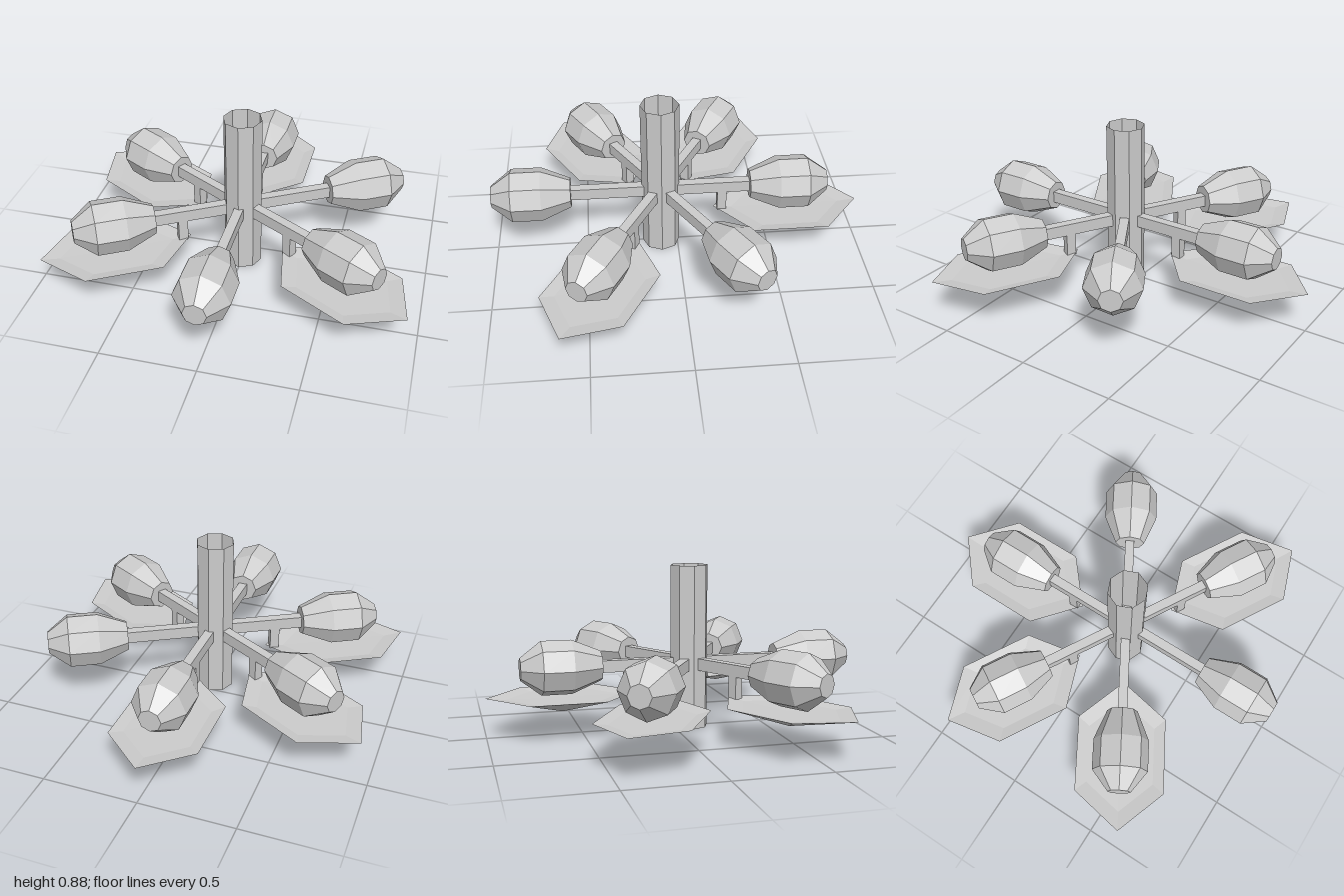
import * as THREE from 'three';

const material = new THREE.MeshStandardMaterial({ color: 0xcccccc, flatShading: true, side: THREE.DoubleSide });

function part(name, geometry, x = 0, y = 0, z = 0) {
  const mesh = new THREE.Mesh(geometry, material);
  mesh.name = name;
  mesh.position.set(x, y, z);
  return mesh;
}

// Faceted solid of revolution from [radius, height] pairs, bottom to top
function lathe(profile, sides) {
  return new THREE.LatheGeometry(profile.map(([r, h]) => new THREE.Vector2(r, h)), sides);
}

export function createModel() {
  const model = new THREE.Group();
  model.name = 'branchedPlant';
  const centreZ = 0.09;

  // Hollow eight-sided stem, closed at the foot and open at the top
  model.add(part('stem', lathe([[0, 0], [0.102, 0], [0.102, 0.88]], 8), 0, 0, centreZ));

  // Bud lying along +z
  const bud = lathe([[0, 0.485], [0.08, 0.485], [0.145, 0.64], [0.145, 0.8], [0.06, 0.91], [0, 0.91]], 8);
  bud.rotateX(Math.PI / 2);

  // Long six-sided leaf: pointed underside, slightly dished top
  const leaf = lathe([[0, 0.12], [0.4, 0.21], [0.3, 0.198], [0, 0.196]], 6);
  leaf.scale(0.68, 1, 1);

  const armLength = 0.5;
  const arm = new THREE.BoxGeometry(0.05, 0.064, armLength);
  const stalk = new THREE.BoxGeometry(0.05, 0.13, 0.05);

  // Six branches around the stem; two of them carry no leaf
  for (let k = 0; k < 6; k++) {
    const branch = new THREE.Group();
    branch.name = 'branch' + (k + 1);
    branch.position.z = centreZ;
    branch.rotation.y = (k * Math.PI) / 3;
    branch.add(part('arm', arm, 0, 0.352, armLength / 2));
    branch.add(part('bud', bud, 0, 0.355, 0));
    if (k !== 0 && k !== 2) {
      branch.add(part('leafStalk', stalk, 0, 0.265, 0.335));
      branch.add(part('leaf', leaf, 0, 0, 0.69));
    }
    model.add(branch);
  }
  return model;
}
